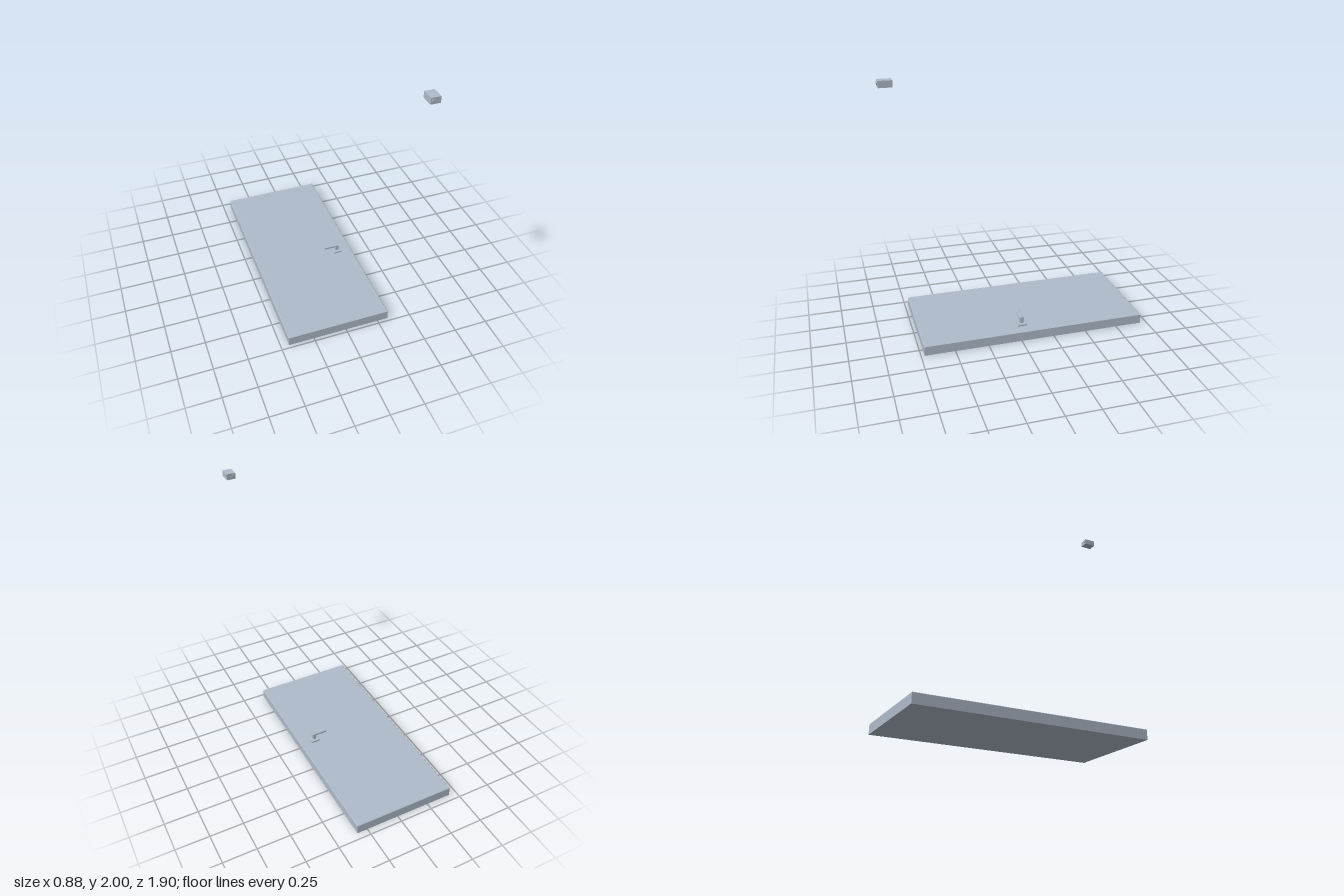
import * as THREE from 'three';

// Extrude a shape with a small bevel that stays inside the outline
function bevelled(shape, depth, bevel, segments = 1) {
  const geo = new THREE.ExtrudeGeometry(shape, {
    depth: depth - 2 * bevel, bevelEnabled: true, bevelThickness: bevel,
    bevelSize: bevel, bevelOffset: -bevel, bevelSegments: segments, curveSegments: 6,
  });
  return geo.translate(0, 0, bevel);
}

// Rectangle centred on the origin with rounded corners
function roundedRect(w, h, r) {
  const s = new THREE.Shape(), x = w / 2, y = h / 2;
  s.moveTo(-x + r, -y);
  s.lineTo(x - r, -y).absarc(x - r, -y + r, r, -Math.PI / 2, 0);
  s.lineTo(x, y - r).absarc(x - r, y - r, r, 0, Math.PI / 2);
  s.lineTo(-x + r, y).absarc(-x + r, y - r, r, Math.PI / 2, Math.PI);
  s.lineTo(-x, -y + r).absarc(-x + r, -y + r, r, Math.PI, Math.PI * 1.5);
  return s;
}

export function createModel() {
  const group = new THREE.Group();
  const paint = new THREE.MeshStandardMaterial({ color: 0xb0bccb });
  paint.name = 'blue grey';

  const add = (name, geo, x, y, z, parent = group) => {
    const mesh = new THREE.Mesh(geo, paint);
    mesh.name = name;
    mesh.position.set(x, y, z);
    parent.add(mesh);
    return mesh;
  };

  // Door leaf lying flat: plain body with a fine chamfer round the top
  const W = 0.77, L = 1.675, H = 0.073, c = 0.004;
  const leaf = new THREE.BoxGeometry(W, H, L, 1, 2, 1).toNonIndexed();
  const p = leaf.attributes.position;
  for (let i = 0; i < p.count; i++) {
    if (p.getY(i) > H / 4) {
      p.setX(i, p.getX(i) - Math.sign(p.getX(i)) * c);
      p.setZ(i, p.getZ(i) - Math.sign(p.getZ(i)) * c);
    } else if (Math.abs(p.getY(i)) < 0.001) p.setY(i, H / 2 - c);
  }
  leaf.computeVertexNormals();
  add('doorLeaf', leaf, -0.055, H / 2, -0.1125);

  // Handle: rounded plate with an L-shaped lever
  const handle = new THREE.Group();
  handle.name = 'handle';
  handle.position.set(0.213, H, -0.028);
  group.add(handle);
  const plate = bevelled(roundedRect(0.07, 0.07, 0.01), 0.016, 0.004, 2);
  add('handlePlate', plate.rotateX(-Math.PI / 2), 0, 0, 0, handle);

  const lever = new THREE.Shape();
  lever.moveTo(-0.014, 0.01);
  lever.lineTo(0.014, 0.01);
  lever.lineTo(0.014, 0.06);
  lever.quadraticCurveTo(0.014, 0.064, 0.01, 0.064);
  lever.lineTo(-0.105, 0.064);
  lever.lineTo(-0.105, 0.045);
  lever.lineTo(-0.014, 0.045);
  lever.closePath();
  add('handleLever', bevelled(lever, 0.028, 0.003), 0, 0, -0.014, handle);

  // Separate latch block with a pin running through it
  const latch = new THREE.Group();
  latch.name = 'latch';
  latch.position.set(0.405, 1.978, 0.901);
  group.add(latch);
  add('latchBlock', new THREE.BoxGeometry(0.066, 0.044, 0.088), 0, 0, 0, latch);
  const pin = new THREE.CylinderGeometry(0.012, 0.012, 0.098, 20).rotateX(Math.PI / 2);
  add('latchPin', pin, -0.016, 0, 0, latch);

  return group;
}
